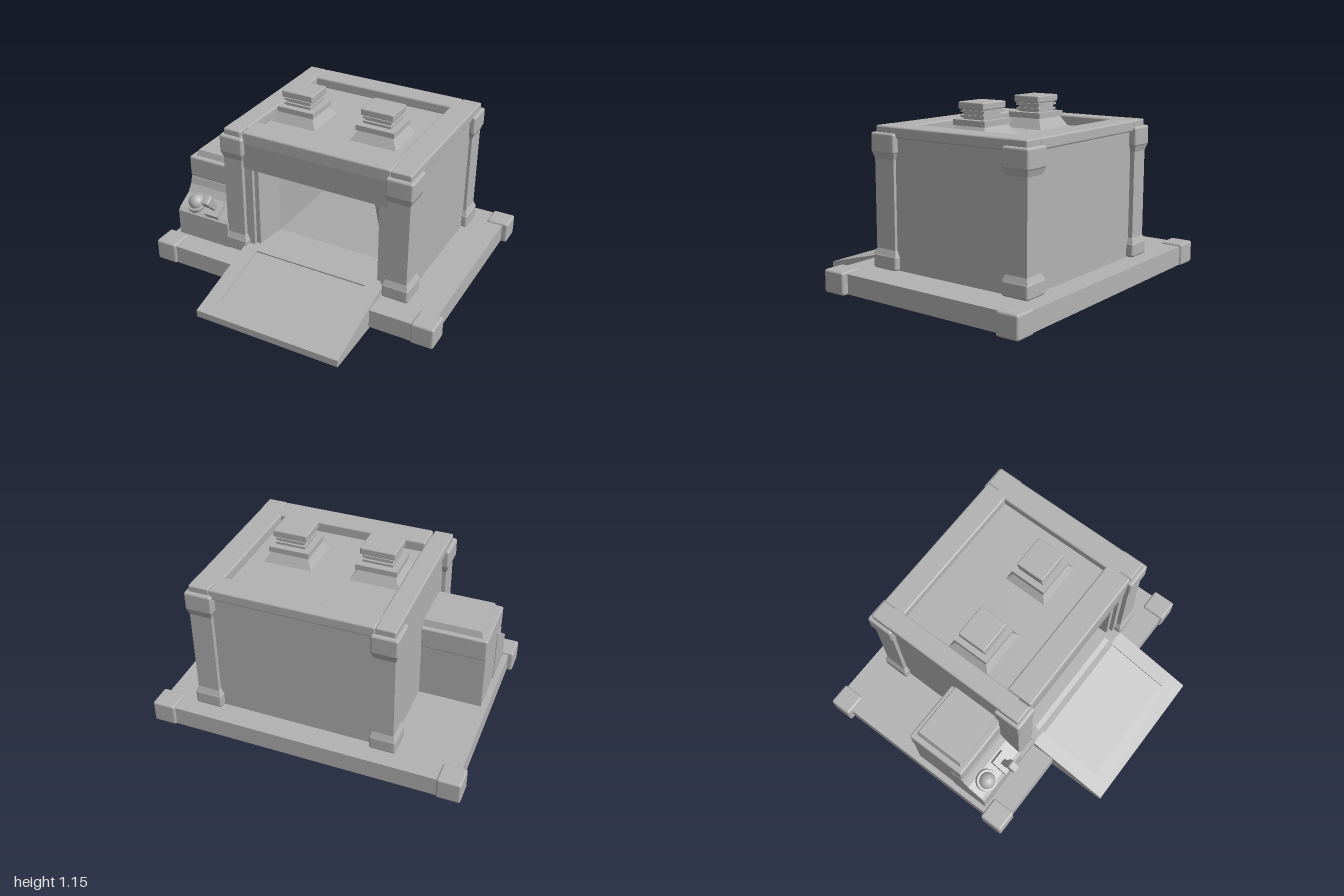
import * as THREE from 'three';
import { RoundedBoxGeometry } from 'three/addons/geometries/RoundedBoxGeometry.js';

export function createModel() {
  const model = new THREE.Group();
  const stone = new THREE.MeshStandardMaterial({ color: 0xb2b2b2 });
  stone.name = 'plainGrey';
  const stoneTwoSided = stone.clone();
  stoneTwoSided.side = THREE.DoubleSide;

  const add = (name, geometry, parent = model, material = stone) => {
    const mesh = new THREE.Mesh(geometry, material);
    mesh.name = name;
    parent.add(mesh);
    return mesh;
  };
  // Boxes are given by their extents: [min, max] on each axis
  const mid = (r) => (r[0] + r[1]) / 2;
  const len = (r) => r[1] - r[0];
  const box = (name, x, y, z, parent, radius = 0) => {
    const geo = radius
      ? new RoundedBoxGeometry(len(x), len(y), len(z), 2, radius)
      : new THREE.BoxGeometry(len(x), len(y), len(z));
    return add(name, geo.translate(mid(x), mid(y), mid(z)), parent);
  };
  // Box whose top and bottom are widened or narrowed
  const taper = (name, x, y, z, bottom, top, parent) => {
    const geo = new THREE.BoxGeometry(len(x), len(y), len(z));
    const p = geo.attributes.position;
    for (let i = 0; i < p.count; i++) {
      const grow = p.getY(i) > 0 ? top : bottom;
      p.setX(i, p.getX(i) + Math.sign(p.getX(i)) * grow);
      p.setZ(i, p.getZ(i) + Math.sign(p.getZ(i)) * grow);
    }
    geo.computeVertexNormals();
    return add(name, geo.translate(mid(x), mid(y), mid(z)), parent);
  };
  // Outline in (z, y) swept along x
  const sweepX = (name, points, x, parent) => {
    const shape = new THREE.Shape(points.map(([z, y]) => new THREE.Vector2(-z, y)));
    const geo = new THREE.ExtrudeGeometry(shape, { depth: len(x), bevelEnabled: false });
    return add(name, geo.rotateY(Math.PI / 2).translate(x[0], 0, 0), parent);
  };

  // Base slab with corner blocks
  box('baseSlab', [-0.965, 0.96], [0.02, 0.145], [-0.9, 0.515]);
  for (const x of [[-1, -0.85], [0.85, 1]])
    for (const z of [[-0.915, -0.765], [0.37, 0.53]])
      box('baseCorner', x, [0.015, 0.16], z, model, 0.015);

  // Building walls
  const house = new THREE.Group();
  house.name = 'building';
  model.add(house);
  box('rightWall', [-0.52, -0.46], [0.14, 0.97], [-0.74, 0.28], house);
  box('leftWall', [0.65, 0.715], [0.14, 0.97], [-0.74, 0.28], house);
  box('backWall', [-0.5, 0.7], [0.14, 0.97], [-0.75, -0.69], house);
  box('roofPanel', [-0.48, 0.68], [0.91, 0.955], [-0.72, 0.25], house);

  // Front wall with the doorway cut out
  const rect = (Type, x, y) => new Type([
    [x[0], y[0]], [x[1], y[0]], [x[1], y[1]], [x[0], y[1]],
  ].map(([a, b]) => new THREE.Vector2(a, b)));
  const panel = (name, outer, hole, z) => {
    const shape = rect(THREE.Shape, ...outer);
    shape.holes.push(rect(THREE.Path, ...hole));
    const geo = new THREE.ExtrudeGeometry(shape, { depth: len(z), bevelEnabled: false });
    add(name, geo.translate(0, 0, z[0]), house);
  };
  panel('frontWall', [[-0.5, 0.7], [0.14, 0.97]], [[-0.36, 0.55], [0.17, 0.755]], [0.22, 0.31]);
  panel('doorFrame', [[-0.365, 0.555], [0.15, 0.76]], [[-0.33, 0.515], [0.2, 0.74]], [0.2, 0.285]);

  // Hollow behind the doorway, narrowing to the rear
  const ring = (x0, x1, y0, y1, z) => [[x0, y0, z], [x1, y0, z], [x1, y1, z], [x0, y1, z]];
  const rings = [
    ring(-0.33, 0.515, 0.2, 0.74, 0.22),
    ring(-0.29, 0.48, 0.22, 0.725, 0.1),
    ring(0.06, 0.12, 0.63, 0.67, -0.35),
  ];
  const index = [];
  for (let r = 0; r < 2; r++)
    for (let i = 0; i < 4; i++) {
      const a = r * 4 + i, b = r * 4 + ((i + 1) % 4);
      index.push(a, b, b + 4, a, b + 4, a + 4);
    }
  index.push(8, 9, 10, 8, 10, 11);
  let hollow = new THREE.BufferGeometry();
  hollow.setAttribute('position', new THREE.Float32BufferAttribute(rings.flat(2), 3));
  hollow.setIndex(index);
  hollow = hollow.toNonIndexed();
  hollow.computeVertexNormals();
  add('doorwayHollow', hollow, house, stoneTwoSided);

  // Roof frame and lintel
  box('frontBeam', [-0.41, 0.6], [0.93, 1.02], [0.16, 0.33], house, 0.012);
  sweepX('lintel', [[0.25, 0.76], [0.315, 0.76], [0.33, 0.94], [0.33, 0.98], [0.25, 0.98]], [-0.42, 0.59], house);
  box('backBeam', [-0.42, 0.6], [0.95, 1.02], [-0.775, -0.62], house, 0.012);
  box('rightBeam', [-0.54, -0.41], [0.95, 1.02], [-0.7, 0.25], house, 0.012);
  box('leftBeam', [0.57, 0.73], [0.95, 1.02], [-0.7, 0.25], house, 0.012);

  // Corner pillars with feet and capitals
  for (const x of [[-0.545, -0.415], [0.595, 0.735]])
    for (const z of [[-0.78, -0.635], [0.19, 0.34]]) {
      const pillar = new THREE.Group();
      pillar.name = 'pillar';
      house.add(pillar);
      const wide = (r, d) => [r[0] - d, r[1] + d];
      box('pillarShaft', x, [0.14, 0.98], z, pillar);
      box('pillarFoot', wide(x, 0.018), [0.145, 0.24], wide(z, 0.018), pillar, 0.015);
      taper('pillarFootSlope', x, [0.235, 0.27], z, 0.014, 0, pillar);
      taper('capitalSlope', x, [0.82, 0.865], z, 0, 0.014, pillar);
      box('capital', wide(x, 0.018), [0.855, 0.98], wide(z, 0.018), pillar, 0.015);
      box('pillarTop', wide(x, -0.004), [0.96, 1.02], wide(z, -0.006), pillar, 0.01);
    }

  // Roof vents
  for (const cx of [-0.24, 0.32]) {
    const vent = new THREE.Group();
    vent.name = 'roofVent';
    vent.position.set(cx, 0, -0.15);
    model.add(vent);
    taper('ventSkirt', [-0.11, 0.11], [0.95, 1.03], [-0.1, 0.1], 0.05, 0, vent);
    box('ventBase', [-0.13, 0.13], [1.02, 1.055], [-0.12, 0.12], vent);
    box('ventNeck', [-0.085, 0.085], [1.05, 1.13], [-0.075, 0.075], vent);
    for (const y of [1.065, 1.095])
      box('ventSlat', [-0.095, 0.095], [y, y + 0.015], [-0.09, 0.09], vent);
    box('ventCap', [-0.11, 0.11], [1.115, 1.16], [-0.095, 0.095], vent, 0.008);
  }

  // Entry ramp with raised borders
  const ramp = new THREE.Group();
  ramp.name = 'ramp';
  model.add(ramp);
  const slope = (z) => 0.05 + (0.92 - z) * 0.273;
  const wedge = (drop, z0, z1) => [
    [z0, 0.005], [z1, 0.005], [z1, slope(z1) - drop], [z0, slope(z0) - drop],
  ];
  sweepX('rampPanel', wedge(0.01, 0.3, 0.81), [-0.32, 0.48], ramp);
  sweepX('rampRightBorder', wedge(0, 0.36, 0.81), [-0.41, -0.31], ramp);
  sweepX('rampLeftBorder', wedge(0, 0.36, 0.81), [0.47, 0.575], ramp);
  sweepX('rampLip', wedge(0, 0.8, 0.915), [-0.41, 0.575], ramp);
  box('threshold', [-0.4, 0.57], [0.13, 0.2], [0.2, 0.37], ramp);

  // Side machine with sloping console
  const machine = new THREE.Group();
  machine.name = 'sideMachine';
  model.add(machine);
  box('machineBody', [-0.925, -0.5], [0.14, 0.64], [-0.2, 0.18], machine);
  box('machineLid', [-0.93, -0.5], [0.51, 0.655], [-0.21, 0.195], machine, 0.012);
  taper('machineLidTop', [-0.88, -0.51], [0.65, 0.695], [-0.17, 0.15], 0.015, 0, machine);
  sweepX('console', [
    [0.1, 0.14], [0.355, 0.14], [0.355, 0.32], [0.335, 0.34],
    [0.235, 0.40], [0.2, 0.45], [0.185, 0.5], [0.1, 0.5],
  ], [-0.93, -0.54], machine);

  // Dome button on the console
  const button = new THREE.Group();
  button.name = 'button';
  button.position.set(-0.82, 0.365, 0.285);
  button.rotation.x = 0.54;
  machine.add(button);
  add('buttonRing', new THREE.CylinderGeometry(0.07, 0.075, 0.03, 16).translate(0, 0.01, 0), button);
  add('buttonDome', new THREE.SphereGeometry(0.055, 16, 8, 0, Math.PI * 2, 0, Math.PI / 2).translate(0, 0.022, 0), button);

  // Lever on the console
  const lever = new THREE.Group();
  lever.name = 'lever';
  lever.position.set(-0.665, 0.37, 0.3);
  machine.add(lever);
  const mount = box('leverMount', [-0.05, 0.05], [-0.02, 0.025], [-0.06, 0.06], lever);
  mount.rotation.x = 0.54;
  const arm = new THREE.Group();
  arm.name = 'leverArm';
  arm.rotation.x = 0.65;
  lever.add(arm);
  box('leverStem', [-0.018, 0.018], [0, 0.12], [-0.018, 0.018], arm);
  box('leverHandle', [-0.028, 0.028], [0.1, 0.165], [-0.035, 0.035], arm, 0.012);

  return model;
}
